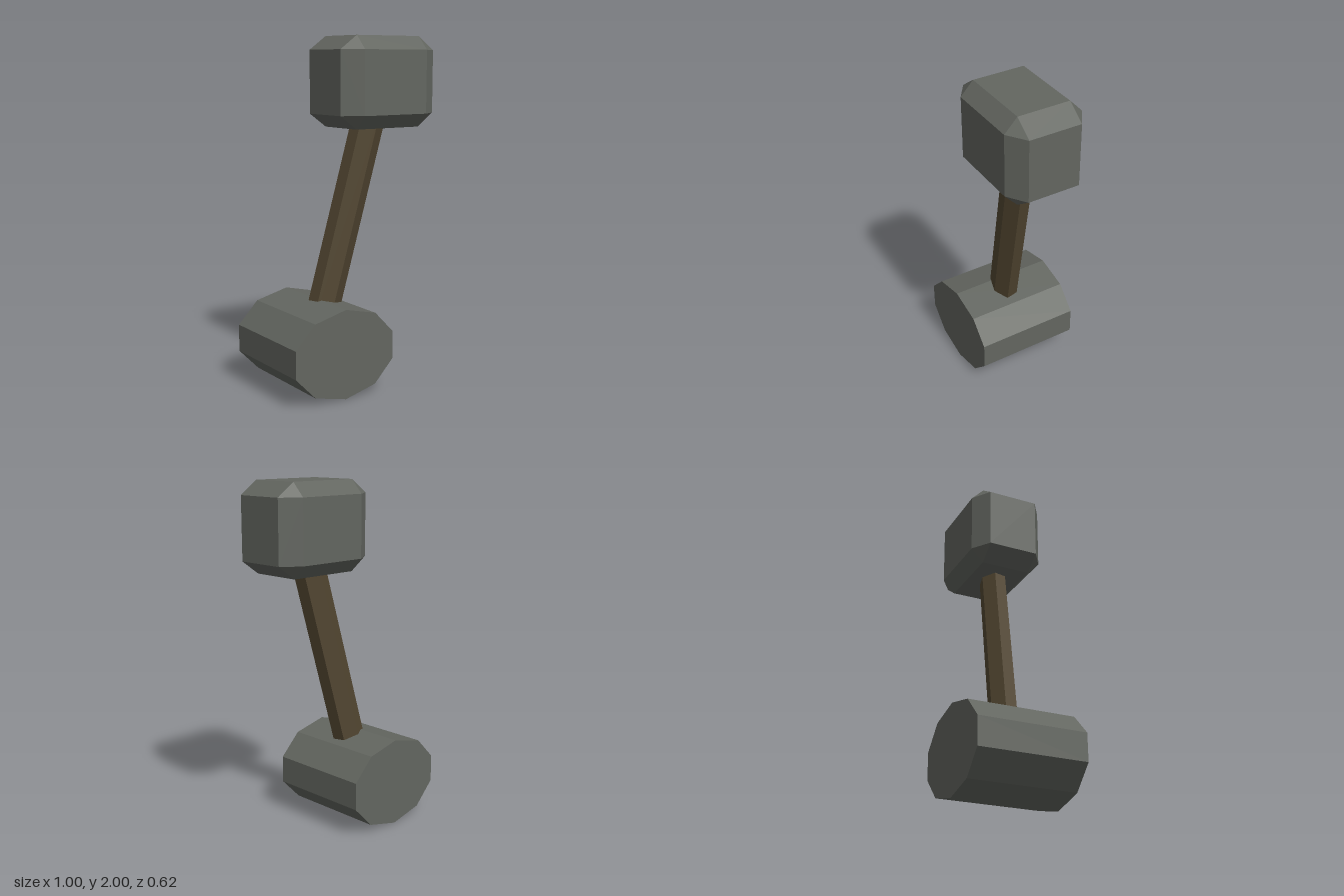
import * as THREE from 'three';
import { ConvexGeometry } from 'three/addons/geometries/ConvexGeometry.js';

const stone = new THREE.MeshStandardMaterial({ color: 0x636660, flatShading: true });
stone.name = 'grey stone';
const wood = new THREE.MeshStandardMaterial({ color: 0x524631, flatShading: true });
wood.name = 'dark wood';

// Box with every edge and corner cut, centred on the origin
function chamferedBox(half, cut) {
  const points = [];
  for (const sx of [-1, 1]) for (const sy of [-1, 1]) for (const sz of [-1, 1]) {
    const sign = new THREE.Vector3(sx, sy, sz);
    // each corner becomes three points, one on each of its faces
    for (const axis of ['x', 'y', 'z']) {
      const p = half.clone().sub(cut);
      p[axis] = half[axis];
      points.push(p.multiply(sign));
    }
  }
  return new ConvexGeometry(points);
}

export function createModel() {
  const model = new THREE.Group();
  model.name = 'mallets';
  const add = (name, geometry, material) => {
    const mesh = new THREE.Mesh(geometry, material);
    mesh.name = name;
    model.add(mesh);
    return mesh;
  };

  // Ten-sided drum lying along z, slightly flattened
  const drum = new THREE.CylinderGeometry(1, 1, 0.62, 10);
  drum.rotateX(Math.PI / 2).scale(0.345, 0.257, 1);
  add('lowerDrum', drum, stone).position.set(-0.172, 0.257, 0);

  // Chamfered block on top
  const block = chamferedBox(
    new THREE.Vector3(0.324, 0.255, 0.224),
    new THREE.Vector3(0.108, 0.077, 0.074));
  add('upperBlock', block, stone).position.set(0.175, 1.745, 0.074);

  // Six-sided handle, sheared so that it leans between the two
  const handle = new THREE.CylinderGeometry(1, 1, 1.3, 6, 1, false, THREE.MathUtils.degToRad(8));
  handle.scale(0.108, 1, 0.074);
  handle.applyMatrix4(new THREE.Matrix4().set(
    1, 0.253, 0, 0,
    0, 1, 0, 0,
    0, 0.054, 1, 0,
    0, 0, 0, 1));
  add('handle', handle, wood).position.set(0.004, 0.95, 0.042);

  return model;
}
